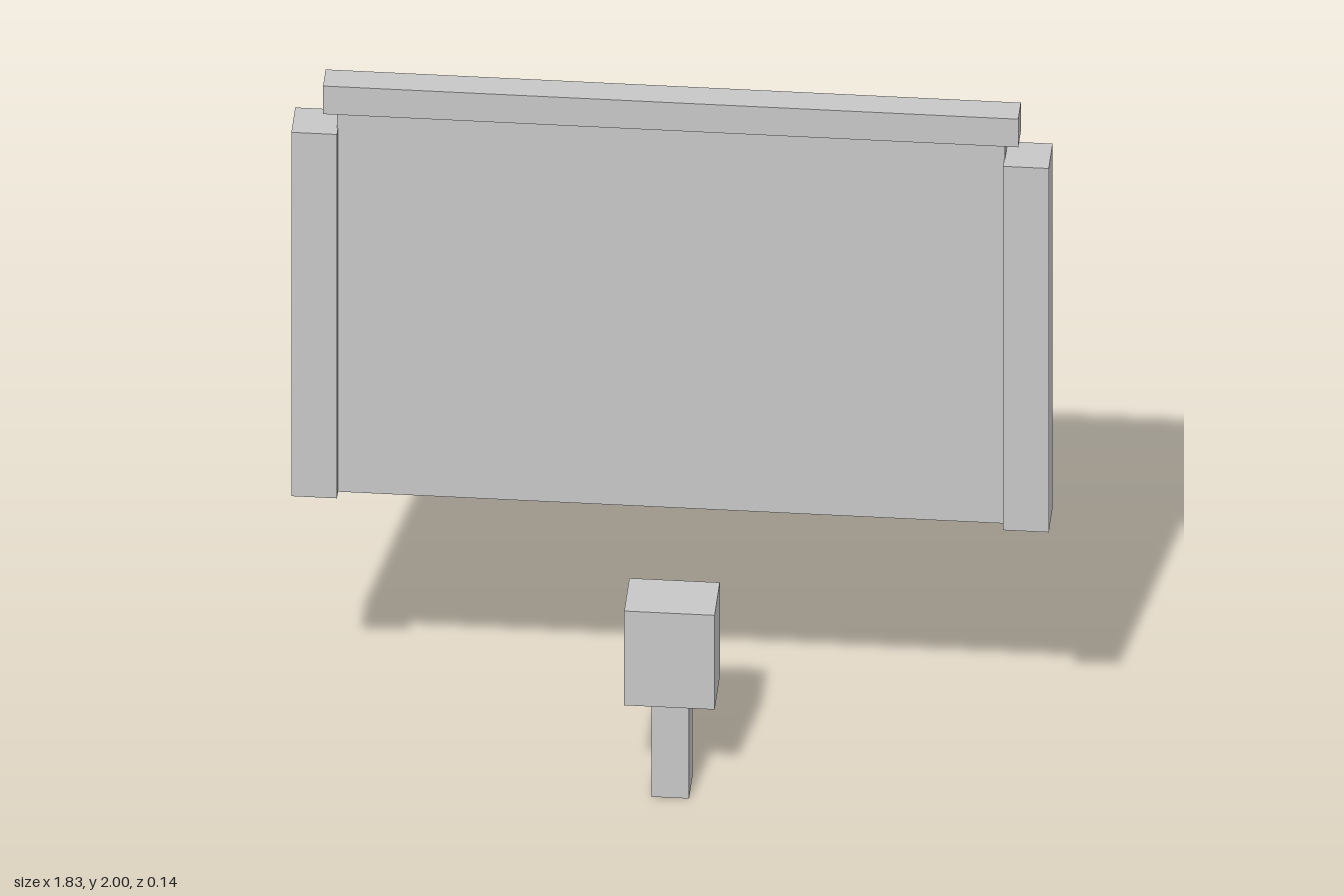
import * as THREE from 'three';

export function createModel() {
  const group = new THREE.Group();
  const grey = new THREE.MeshStandardMaterial({ color: 0xc6c6c6 });
  grey.name = 'light grey';

  // box centred on z = 0, spanning y from bottom to top
  const addBox = (name, width, bottom, top, depth, x = 0) => {
    const mesh = new THREE.Mesh(new THREE.BoxGeometry(width, top - bottom, depth), grey);
    mesh.position.set(x, (bottom + top) / 2, 0);
    mesh.name = name;
    group.add(mesh);
  };

  // thin board with a rail along its top edge
  addBox('panel', 1.61, 0.824, 1.919, 0.05);
  addBox('topRail', 1.676, 1.919, 2, 0.072);

  // thicker posts at both ends of the board
  for (const [name, side] of [['leftPost', 1], ['rightPost', -1]]) {
    addBox(name, 0.11, 0.824, 1.874, 0.108, side * 0.858);
  }

  // separate block on a slim stem below the board
  addBox('block', 0.218, 0.278, 0.55, 0.143);
  addBox('stem', 0.09, 0, 0.278, 0.09);

  return group;
}
